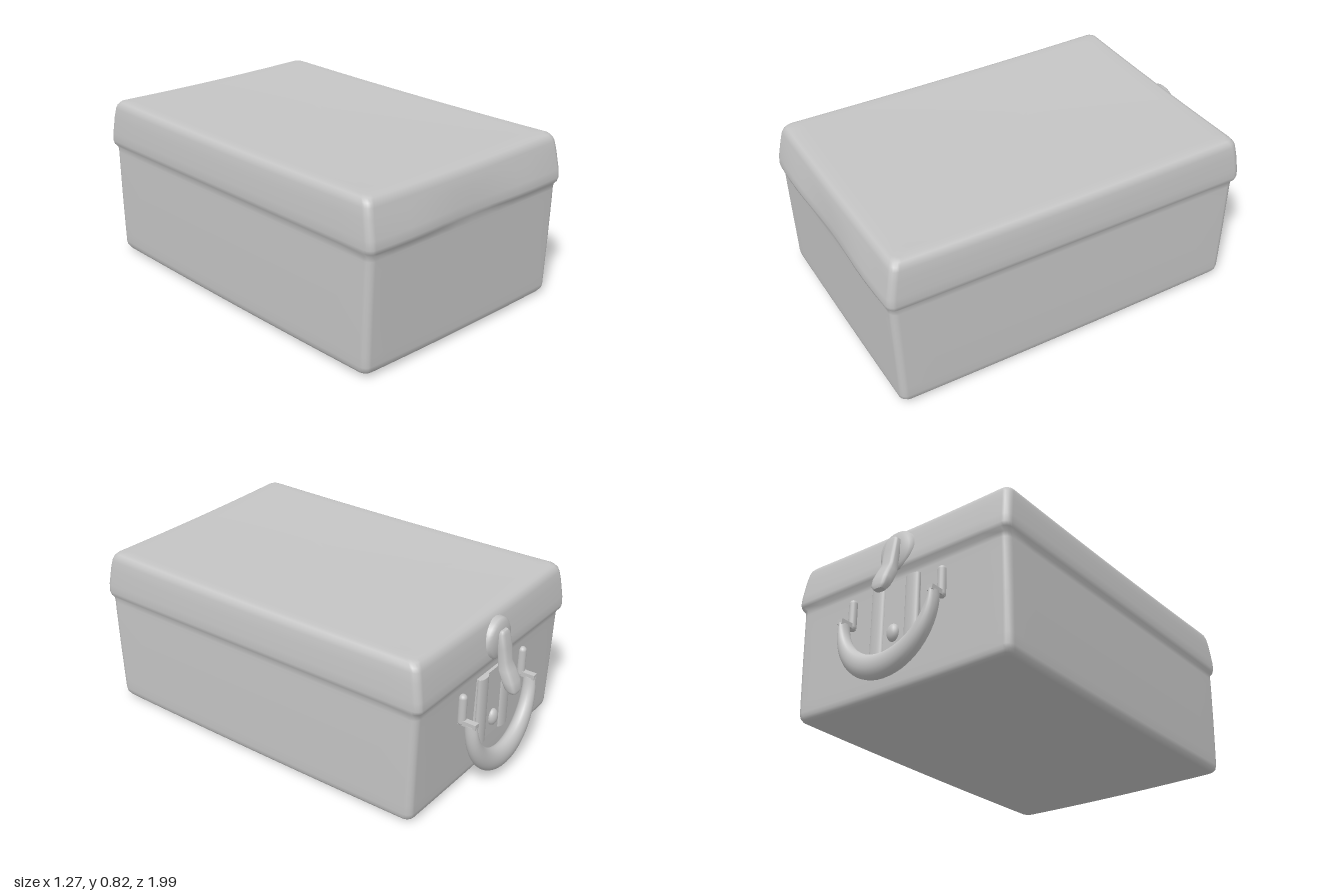
import * as THREE from 'three';

const grey = new THREE.MeshStandardMaterial({ color: 0xc4c4c4 });
grey.name = 'plain grey';

// Skin a list of equal-length closed rings; both ends are closed with a fan.
function loft(rings) {
  const n = rings[0].length, pos = [], idx = [];
  rings.forEach(r => r.forEach(p => pos.push(...p)));
  for (let i = 0; i < rings.length - 1; i++) {
    for (let j = 0; j < n; j++) {
      const a = i * n + j, b = i * n + (j + 1) % n;
      idx.push(a, b, a + n, b, b + n, a + n);
    }
  }
  [0, rings.length - 1].forEach((ri, end) => {
    const base = pos.length / 3, ring = rings[ri];
    const c = [0, 1, 2].map(k => ring.reduce((s, p) => s + p[k], 0) / n);
    pos.push(...c);
    ring.forEach(p => pos.push(...p));
    for (let j = 0; j < n; j++) {
      const a = base + 1 + j, b = base + 1 + (j + 1) % n;
      if (end) idx.push(base, a, b); else idx.push(base, b, a);
    }
  });
  const g = new THREE.BufferGeometry();
  g.setAttribute('position', new THREE.Float32BufferAttribute(pos, 3));
  g.setIndex(idx);
  g.computeVertexNormals();
  return g;
}

// Rounded rectangle in x/z, with extra points along the straight edges.
function caseRing(y, hx, front, back, s = 1) {
  const cz = (front + back) / 2, hz = (front - back) / 2, r = 0.035;
  const corners = [[1, -1], [-1, -1], [-1, 1], [1, 1]];
  const arcs = corners.map(([sx, sz], c) => {
    const pts = [];
    for (let k = 0; k <= 4; k++) {
      const t = (c + k / 4) * Math.PI / 2;
      pts.push([sx * (hx - r) + r * Math.cos(t), sz * (hz - r) - r * Math.sin(t)]);
    }
    return pts;
  });
  const flat = [];
  arcs.forEach((arc, c) => {
    flat.push(...arc);
    const a = arc[4], b = arcs[(c + 1) % 4][0];
    for (let k = 1; k < 12; k++) {
      const t = k / 12;
      flat.push([a[0] + (b[0] - a[0]) * t, a[1] + (b[1] - a[1]) * t]);
    }
  });
  return flat.map(([px, pz]) => {
    const x = px * s, z = pz * s;
    const edge = (x / 0.62) ** 2 + (z / 0.9) ** 2;
    // sagging top and slightly rounded bottom
    const dy = y > 0.7 ? 0.008 * edge : y < 0.1 ? 0.007 * edge - 0.004 * x : 0;
    // wavy front lip and a slight skew of the back
    const lip = y > 0.585 && y < 0.7 && pz > hz * 0.9 ? 0.012 * Math.sin(x * 4) ** 2 : 0;
    const skew = pz < -hz * 0.9 ? 0.008 * x : 0;
    return [x, y + dy, cz + z + lip + skew];
  });
}

// Hanging or arching strap with elliptical sections.
function strap(sections) {
  return loft(sections.map(([y, z, w, d]) => {
    const ring = [];
    for (let k = 0; k < 20; k++) {
      const t = k / 20 * Math.PI * 2, c = Math.cos(t), s = Math.sin(t);
      ring.push([w * Math.sign(c) * Math.abs(c) ** 0.6, y, z + d * Math.sign(s) * Math.abs(s) ** 0.6]);
    }
    return ring;
  }));
}

export function createModel() {
  const group = new THREE.Group();
  const add = (name, geometry, x = 0, y = 0, z = 0) => {
    const m = new THREE.Mesh(geometry, grey);
    m.name = name;
    m.position.set(x, y, z);
    group.add(m);
    return m;
  };

  // Case: bottom, walls, flared lid lip, rounded top
  const bottom = [0.02, 0.3, 0.6, 0.9].map(s => caseRing(0, 0.6, 0.945, -0.82, s));
  const walls = [
    [0, 0.592, 0.935, -0.815], [0.006, 0.605, 0.95, -0.83], [0.02, 0.614, 0.96, -0.838],
    [0.04, 0.617, 0.963, -0.841], [0.09, 0.618, 0.964, -0.842], [0.3, 0.619, 0.97, -0.848],
    [0.5, 0.618, 0.976, -0.854], [0.55, 0.617, 0.977, -0.856], [0.575, 0.618, 0.979, -0.858],
    [0.59, 0.628, 0.984, -0.874], [0.61, 0.633, 0.988, -0.878], [0.65, 0.632, 0.985, -0.875],
    [0.72, 0.626, 0.973, -0.862], [0.765, 0.62, 0.963, -0.853], [0.785, 0.614, 0.955, -0.845],
    [0.8, 0.602, 0.942, -0.832], [0.807, 0.585, 0.925, -0.815],
  ].map(p => caseRing(...p));
  const top = [0.93, 0.75, 0.5, 0.25, 0.02].map(s => caseRing(0.807, 0.585, 0.925, -0.815, s));
  add('case', loft([...bottom, ...walls, ...top]));

  // Latch: round boss on the lid with a hanging hasp
  const boss = new THREE.LatheGeometry([
    [0.105, -0.03], [0.1, 0.005], [0.085, 0.02], [0.045, 0.026], [0, 0.028],
  ].map(p => new THREE.Vector2(...p)), 32);
  add('latchBoss', boss, 0, 0.685, -0.868).rotation.x = -Math.PI / 2;
  add('latchHasp', strap([
    [0.738, -0.896, 0.022, 0.014], [0.725, -0.898, 0.036, 0.02], [0.66, -0.908, 0.04, 0.024],
    [0.59, -0.915, 0.036, 0.026], [0.55, -0.928, 0.042, 0.034], [0.5, -0.952, 0.046, 0.034],
    [0.46, -0.967, 0.042, 0.028], [0.44, -0.972, 0.025, 0.018],
  ]));

  // Lock plate: raised side rails, thin centre, round stud
  add('lockPlate', new THREE.BoxGeometry(0.27, 0.35, 0.03), 0, 0.355, -0.855);
  for (const side of [-1, 1]) {
    const rail = new THREE.CylinderGeometry(0.04, 0.04, 0.35, 20);
    rail.scale(1, 1, 0.45);
    add('lockPlateRail', rail, side * 0.1, 0.355, -0.867);
  }
  const stud = new THREE.SphereGeometry(0.036, 20, 12);
  stud.scale(0.9, 1.2, 0.7);
  add('lockStud', stud, 0, 0.27, -0.872);

  // Handle: crescent grip, thick at the middle
  const rings = [];
  for (let i = 0; i <= 32; i++) {
    const a = (i / 32 - 0.5) * Math.PI, c = Math.cos(a), s = Math.sin(a), ring = [];
    const r = 0.017 + 0.042 * c, d = 0.032 + 0.01 * c;
    for (let k = 0; k < 20; k++) {
      const t = k / 20 * Math.PI * 2, u = r * Math.cos(t);
      ring.push([s * (0.265 + u), 0.375 - c * (0.285 + u), -0.913 - 0.02 * c - d * Math.sin(t)]);
    }
    rings.push(ring);
  }
  add('handleGrip', loft(rings));

  // Handle mounts: end caps and vertical tabs on the back wall
  for (const side of [-1, 1]) {
    add('handleCap', new THREE.BoxGeometry(0.03, 0.025, 0.09), side * 0.265, 0.38, -0.898);
    const tab = new THREE.CapsuleGeometry(0.02, 0.12, 6, 16);
    add('handleTab', tab, side * 0.265, 0.44, -0.864);
  }
  return group;
}
